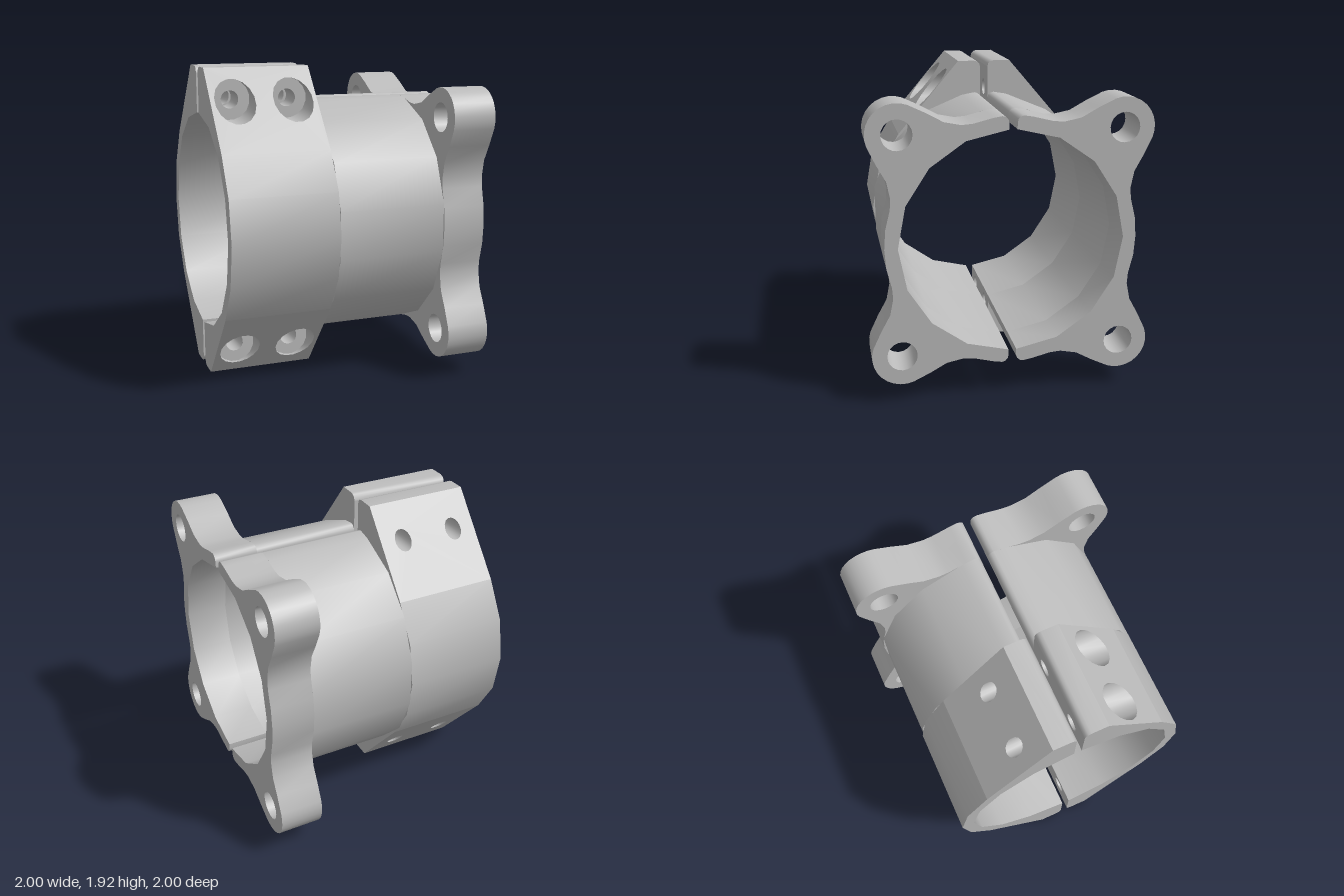
import * as THREE from 'three';
import { toCreasedNormals } from 'three/addons/utils/BufferGeometryUtils.js';

// Split clamp sleeve. Working frame: sleeve axis on z, clamp at -z, flange at +z, gap on x = 0.
const R = 0.753, RI = 0.675, GAP = 0.024, FILLET = 0.04, TOP = 0.96;
const Z0 = -0.8, Z1 = -0.14, Z2 = 0.53, Z3 = 0.8;
const BOLT_Y = 0.77, BOLT_Z = [-0.65, -0.29], BOLT_R = 0.055, BORE_R = 0.125, FLOOR = 0.2;
const A = [0.17, TOP], T = [R * Math.cos(0.709), R * Math.sin(0.709)];   // ends of the sloped clamp face
const slopeX = y => A[0] + (T[0] - A[0]) * (A[1] - y) / (A[1] - T[1]);
const gapX = () => GAP;

const arc = (r, a0, a1, n, cx = 0, cy = 0) => Array.from({ length: n + 1 }, (_, i) => {
  const a = a0 + (a1 - a0) * i / n;
  return [cx + r * Math.cos(a), cy + r * Math.sin(a)];
});
const flipY = pts => pts.map(([x, y]) => [x, -y]).reverse();
const toShape = pts => new THREE.Shape(pts.map(p => new THREE.Vector2(...p)));
// Rounded lip where a half meets the gap, starting on the gap face
const lip = y => arc(FILLET, Math.PI, Math.PI / 2, 3, GAP + FILLET, y - FILLET);
const gapAngle = r => Math.acos(GAP / r);
const bore = arc(RI, -gapAngle(RI), gapAngle(RI), 8);

// Smooth sheet between two rows of points
function strip(a, b) {
  const pos = [];
  for (let i = 0; i < a.length - 1; i++) {
    pos.push(...a[i], ...b[i], ...b[i + 1], ...a[i], ...b[i + 1], ...a[i + 1]);
  }
  const g = new THREE.BufferGeometry();
  g.setAttribute('position', new THREE.Float32BufferAttribute(pos, 3));
  return toCreasedNormals(g, 0.6);
}
const wall = pts => strip(pts.map(p => [...p, Z0]), pts.map(p => [...p, Z1]));

// Flat sheet drawn in (y, z), with x following a rule; t = -1 mirrors it to the underside
function panel(outline, holes, xOf, t) {
  const s = toShape(outline);
  holes.forEach(h => s.holes.push(new THREE.Path(h.map(p => new THREE.Vector2(...p)))));
  const g = new THREE.ShapeGeometry(s), p = g.attributes.position;
  for (let i = 0; i < p.count; i++) {
    const y = p.getX(i), z = p.getY(i);
    p.setXYZ(i, xOf(y), y * t, z);
  }
  g.computeVertexNormals();
  return g;
}
const rect = (y0, y1) => [[y0, Z0], [y1, Z0], [y1, Z1], [y0, Z1]];
const circle = (r, z) => arc(r, Math.PI / 16, Math.PI * 33 / 16, 16, BOLT_Y, z);
const holeWall = (c, x0, x1, t) =>
  strip(c.map(([y, z]) => [x0(y), y * t, z]), c.map(([y, z]) => [x1(y), y * t, z]));

function extrude(shape, z0, z1) {
  const g = new THREE.ExtrudeGeometry(shape, { depth: z1 - z0, bevelEnabled: false, curveSegments: 10 });
  g.translate(0, 0, z0);
  return toCreasedNormals(g, 0.6);
}

export function createModel() {
  const metal = new THREE.MeshStandardMaterial({ color: 0xbcbcbc, side: THREE.DoubleSide });
  metal.name = 'greyMetal';
  const add = (group, name, geometry) => {
    const m = new THREE.Mesh(geometry, metal);
    m.name = name;
    group.add(m);
  };

  function makeHalf(name, counterbored) {
    const half = new THREE.Group();
    half.name = name;

    // Plain tube wall
    const side = arc(R, 1.374, -1.374, 7);
    add(half, 'tubeWall', extrude(toShape([...lip(R), ...side, ...flipY(lip(R)), ...bore]), Z1, Z2));

    // Flange with two bolt lobes
    const lobe = 0.665;
    const flank = [[0.744, 0.118], [0.715, 0.235], [0.71, 0.3], [0.73, 0.4], [0.785, 0.5]];
    const upper = [
      ...lip(R),
      ...flank.map(([x, y]) => [y, x]),
      ...arc(0.18, Math.PI * 11 / 18, -Math.PI / 9, 10, lobe, lobe),
      ...[...flank].reverse(),
    ];
    const flange = toShape([...upper, [R, 0], ...flipY(upper), ...bore]);
    for (const t of [1, -1]) {
      flange.holes.push(new THREE.Path().absarc(lobe, lobe * t, 0.09, 0, Math.PI * 2, true));
    }
    add(half, 'flange', extrude(flange, Z2, Z3));

    // Clamp block: end faces, bore, round side
    const topEdge = [...lip(TOP), A];
    const round = arc(R, 0.709, -0.709, 4);
    const section = toShape([...topEdge, ...round, ...flipY(topEdge), ...bore]);
    for (const z of [Z0, Z1]) add(half, 'clampEnd', new THREE.ShapeGeometry(section).translate(0, 0, z));
    add(half, 'clampBore', wall(bore));
    add(half, 'clampSide', wall(round));

    // Clamp ears above and below, drilled for bolts
    for (const t of [1, -1]) {
      add(half, 'earTop', wall(topEdge.map(([x, y]) => [x, y * t])));
      const small = BOLT_Z.map(z => circle(BOLT_R, z));
      const outer = counterbored ? BOLT_Z.map(z => circle(BORE_R, z)) : small;
      add(half, 'earSlope', panel(rect(T[1], A[1]), outer, slopeX, t));
      add(half, 'earGapFace', panel(rect(bore[8][1], TOP - FILLET), small, gapX, t));
      BOLT_Z.forEach((z, i) => {
        const floorX = () => FLOOR;
        add(half, 'boltHole', holeWall(small[i], gapX, counterbored ? floorX : slopeX, t));
        if (counterbored) {
          add(half, 'counterbore', holeWall(outer[i], floorX, slopeX, t));
          add(half, 'counterboreFloor', panel(outer[i], [small[i]], floorX, t));
        }
      });
    }
    return half;
  }

  const sleeve = new THREE.Group();
  sleeve.name = 'splitSleeve';
  const back = makeHalf('backHalf', false);
  const front = makeHalf('frontHalf', true);
  front.rotation.z = Math.PI;
  sleeve.add(back, front);
  sleeve.rotation.y = Math.PI / 2 + 0.301;
  sleeve.position.set(-0.0125, TOP, 0.0425);

  const model = new THREE.Group();
  model.name = 'clampSleeve';
  model.add(sleeve);
  return model;
}
